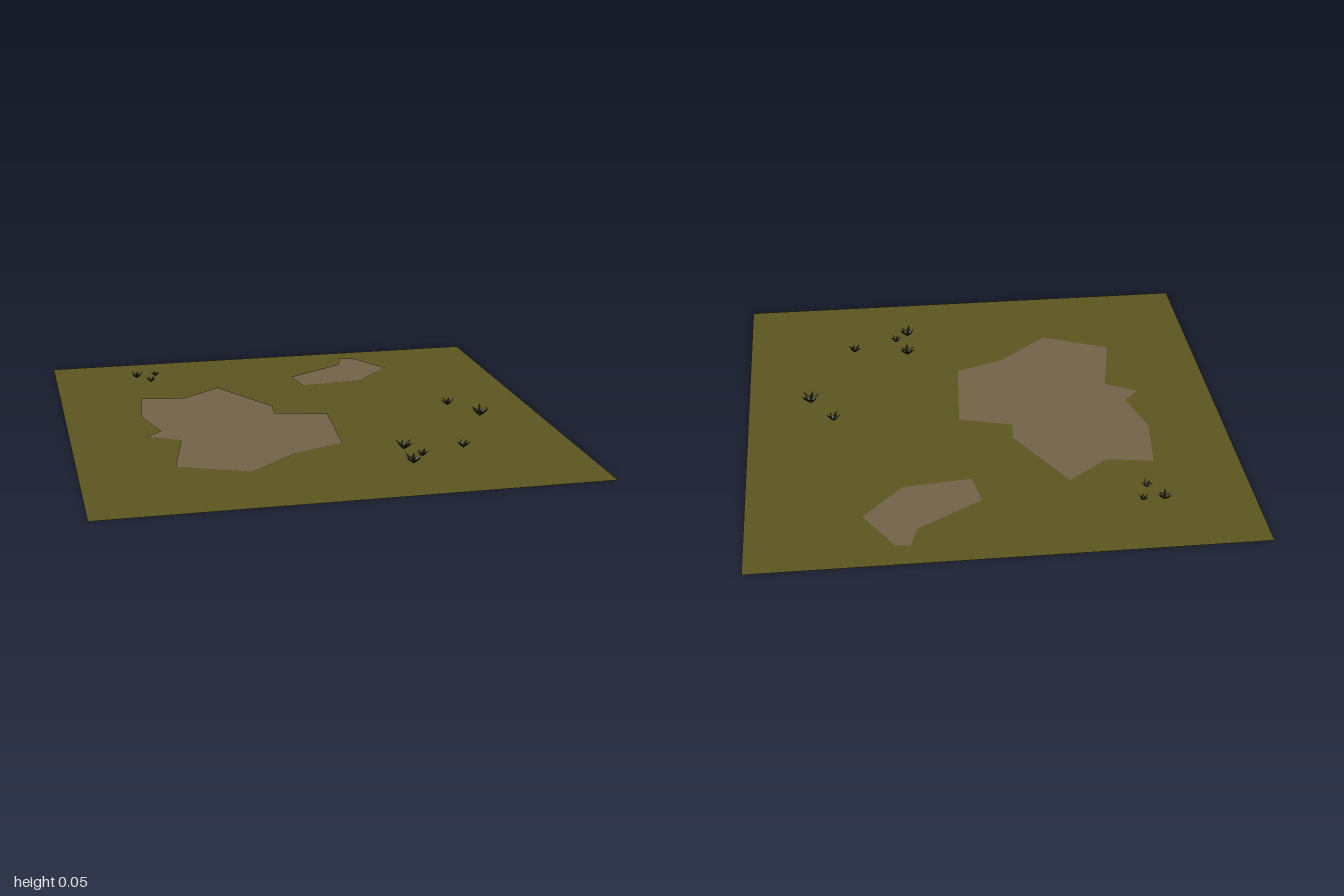
import * as THREE from 'three';

const mat = (name, color) =>
  new THREE.MeshStandardMaterial({ name, color, side: THREE.DoubleSide, flatShading: true });

// Flat polygon lying on the ground; points are [x, z]
function flatPatch(name, points, y, material) {
  const shape = new THREE.Shape(points.map(([x, z]) => new THREE.Vector2(x, -z)));
  const mesh = new THREE.Mesh(new THREE.ShapeGeometry(shape).rotateX(-Math.PI / 2), material);
  mesh.position.y = y;
  mesh.name = name;
  return mesh;
}

// Star of pointed, folded blades rising from a common root; outer radius 1
function tuftGeometry(blades) {
  const positions = [];
  for (let i = 0; i < blades; i++) {
    const a = (i / blades) * Math.PI * 2;
    const reach = i % 2 ? 0.9 : 1;
    const at = (r, da, y) => [Math.cos(a + da) * r, y, Math.sin(a + da) * r];
    const root = [0, -0.5, 0];
    const left = at(0.45, 0.5, 0.05);
    const right = at(0.45, -0.5, 0.05);
    const fold = at(0.5, 0, -0.12);
    const tip = at(reach, 0, i % 2 ? 0.35 : 0.5);
    positions.push(...root, ...left, ...fold, ...root, ...fold, ...right);
    positions.push(...fold, ...left, ...tip, ...fold, ...tip, ...right);
  }
  const geometry = new THREE.BufferGeometry();
  geometry.setAttribute('position', new THREE.Float32BufferAttribute(positions, 3));
  geometry.computeVertexNormals();
  return geometry;
}

export function createModel() {
  const group = new THREE.Group();
  group.name = 'groundTile';
  const grass = mat('olive grass', 0x5d5720);
  const dirt = mat('brown dirt', 0x756449);
  const leaf = mat('dark leaf', 0x302d13);

  // Ground sheet
  group.add(flatPatch('ground', [[-1, -1], [-1, 1], [1, 1], [1, -1]], 0, grass));

  // Bare dirt patches
  group.add(flatPatch('largeDirtPatch', [
    [-0.65, -0.43], [-0.46, -0.4], [-0.29, -0.53], [-0.1, -0.2], [-0.11, -0.1],
    [0.11, -0.04], [0.08, 0.36], [-0.13, 0.44], [-0.34, 0.62], [-0.62, 0.5],
    [-0.555, 0.185], [-0.685, 0.11], [-0.62, 0.045], [-0.68, -0.17],
  ], 0.003, dirt));
  group.add(flatPatch('smallDirtPatch', [
    [0.37, -0.89], [0.43, -0.885], [0.545, -0.69], [0.38, -0.51],
    [0.1, -0.48], [0.075, -0.63], [0.34, -0.79],
  ], 0.003, dirt));

  // Small plant tufts: x, z, radius
  const tuft = tuftGeometry(6);
  [
    [-0.635, -0.715, 0.03], [-0.55, -0.72, 0.022], [-0.58, -0.63, 0.024],
    [0.64, -0.01, 0.032], [0.735, 0.15, 0.042], [0.295, 0.515, 0.037],
    [0.53, 0.555, 0.03], [0.34, 0.625, 0.026], [0.285, 0.685, 0.038],
  ].forEach(([x, z, r], i) => {
    const mesh = new THREE.Mesh(tuft, leaf);
    mesh.name = 'plantTuft' + (i + 1);
    mesh.position.set(x, 0.031, z);
    mesh.scale.setScalar(r);
    mesh.rotation.y = i * 1.3 + 0.3;
    group.add(mesh);
  });
  return group;
}
